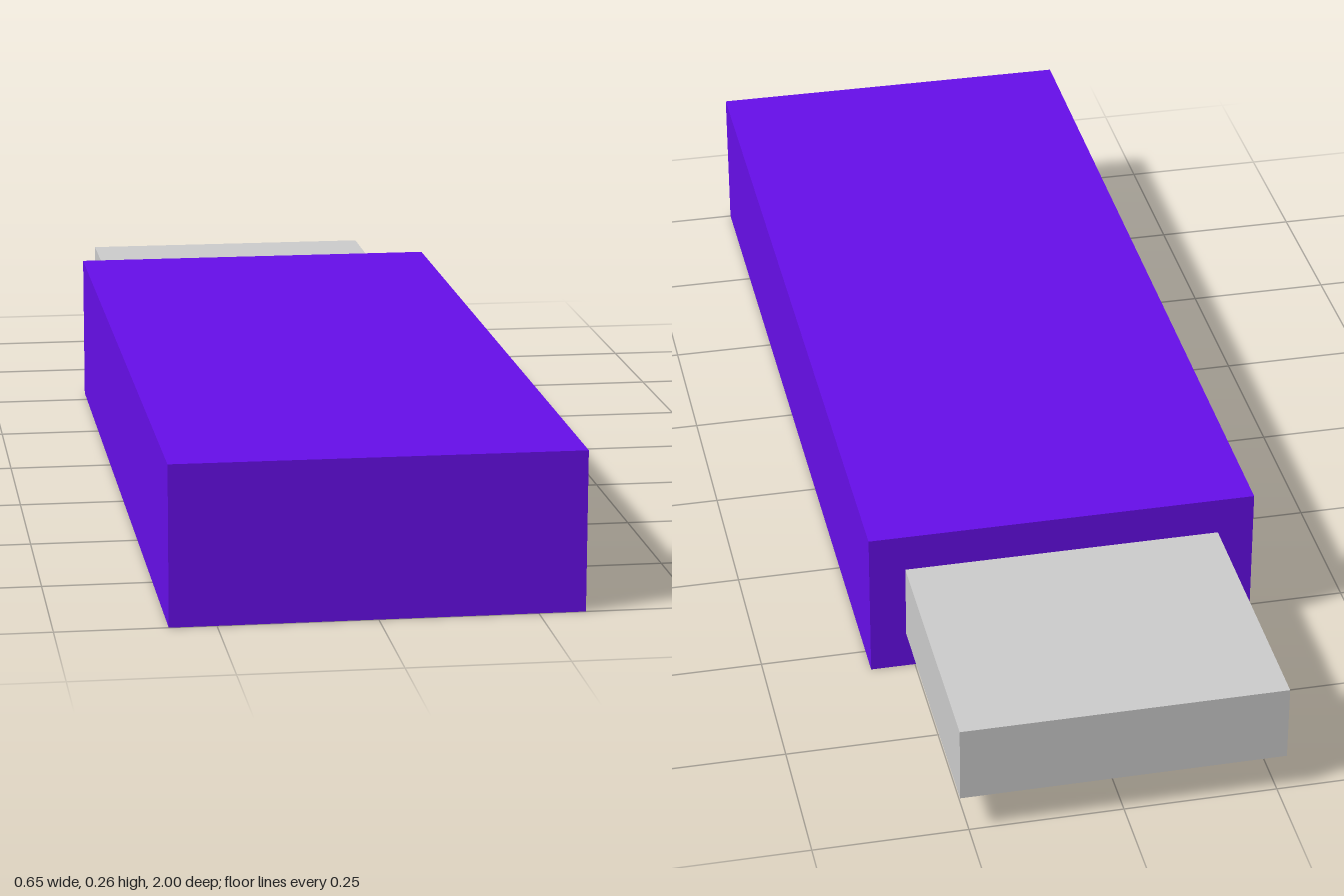
import * as THREE from 'three';

const bodyMaterial = new THREE.MeshStandardMaterial({ color: 0x660ee8 });
const metalMaterial = new THREE.MeshStandardMaterial({ color: 0xcccccc });

// Box spanning zBack..zFront, centred on x = 0 and at height y
function block(name, width, height, y, zBack, zFront, material) {
  const geometry = new THREE.BoxGeometry(width, height, zFront - zBack);
  const mesh = new THREE.Mesh(geometry, material);
  mesh.name = name;
  mesh.position.set(0, y, (zBack + zFront) / 2);
  return mesh;
}

export function createModel() {
  const model = new THREE.Group();
  model.name = 'usbStick';
  const midHeight = 0.1285;

  // Coloured casing
  model.add(block('casing', 0.648, 0.257, midHeight, -0.552, 1, bodyMaterial));
  // Metal plug emerging from the back of the casing
  model.add(block('plug', 0.528, 0.129, midHeight, -1, -0.552, metalMaterial));

  return model;
}
